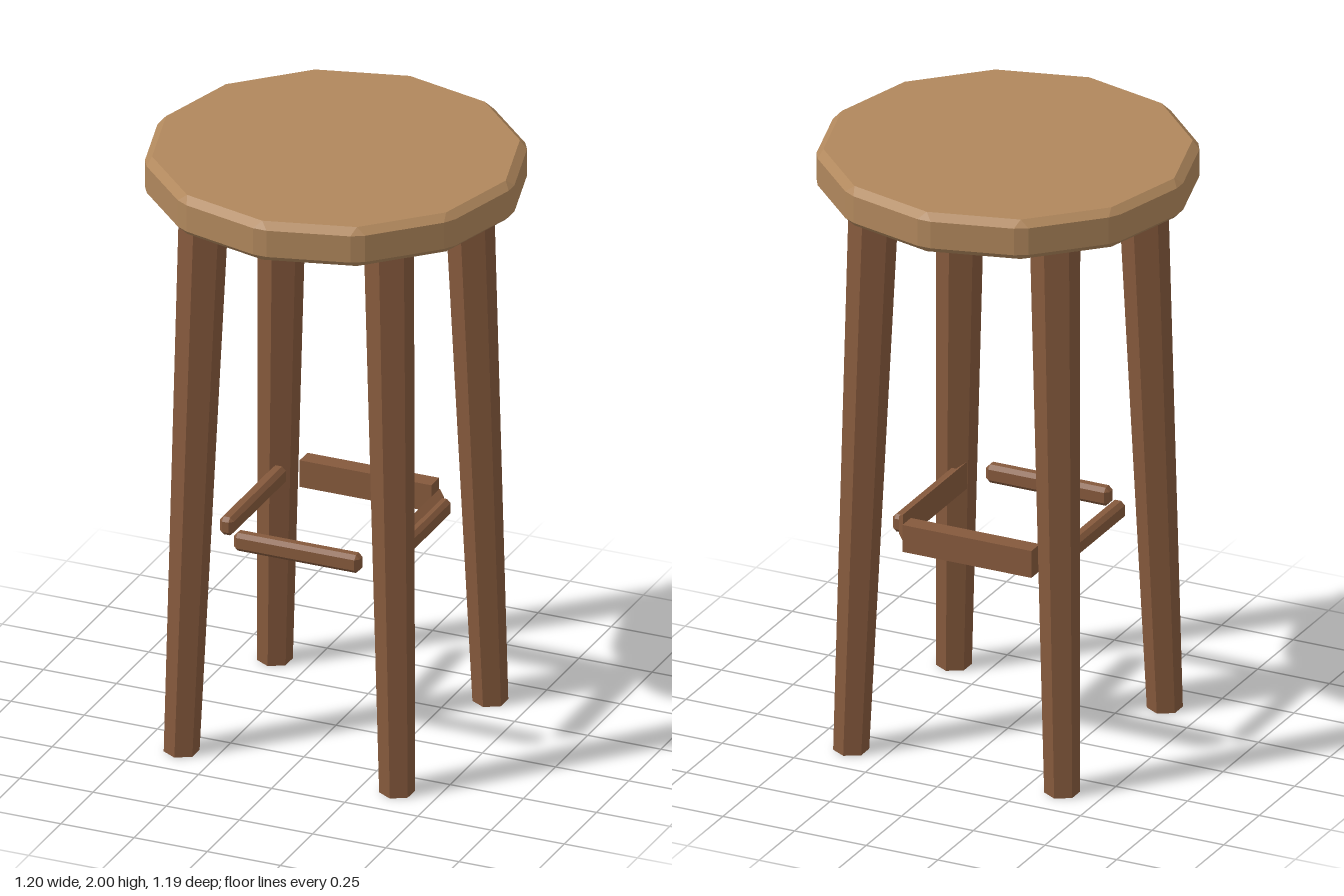
import * as THREE from 'three';
import { ConvexGeometry } from 'three/addons/geometries/ConvexGeometry.js';

const V = (x, y, z) => new THREE.Vector3(x, y, z);
const seatWood = new THREE.MeshStandardMaterial({ color: 0xb0875c, flatShading: true });
const legWood = new THREE.MeshStandardMaterial({ color: 0x85593c, flatShading: true });

function add(parent, name, geometry, material) {
  const mesh = new THREE.Mesh(geometry, material);
  mesh.name = name;
  parent.add(mesh);
  return mesh;
}

// Twelve-sided slab with every edge and corner chamfered
function seatGeometry() {
  const R = 0.606, Z = 0.988, t = 0.024, pts = [];
  const bottom = 1.865, top = 2, c = 0.022;
  const corner = i => V(R * Math.cos(i * Math.PI / 6), 0, R * Math.sin(i * Math.PI / 6));
  for (let i = 0; i < 12; i++) {
    const p = corner(i);
    for (const y of [bottom, top]) pts.push(V(p.x * 0.957, y, p.z * 0.957 * Z));
    for (const n of [corner(i - 1), corner(i + 1)]) {
      const q = p.clone().add(n.sub(p).setLength(t));
      for (const y of [bottom + c, top - c]) pts.push(V(q.x, y, q.z * Z));
    }
  }
  return new ConvexGeometry(pts);
}

// Bar along x with chamfered edges; hx, hy, hz are half sizes
function barGeometry(hx, hy, hz, c) {
  const pts = [];
  for (const x of [-1, 1]) for (const y of [-1, 1]) for (const z of [-1, 1]) {
    pts.push(V(x * hx, y * (hy - c), z * (hz - c)));
    pts.push(V(x * (hx - c), y * hy, z * (hz - c)));
    pts.push(V(x * (hx - c), y * (hy - c), z * hz));
  }
  return new ConvexGeometry(pts);
}

// Tapered backing: tall at z = 0, narrowing to the bar at z = depth
function backingGeometry(depth) {
  const pts = [];
  for (const x of [-1, 1]) for (const y of [-1, 1]) {
    pts.push(V(x * 0.225, y * 0.046, 0), V(x * 0.208, y * 0.03, depth));
  }
  return new ConvexGeometry(pts);
}

// Tapered hexagonal leg, splayed outward toward the floor
function legGeometry(sx, sz) {
  const h = 1.87;
  const g = new THREE.CylinderGeometry(0.079, 0.0565, h, 6);
  g.translate(0, h / 2, 0);
  const p = g.attributes.position;
  for (let i = 0; i < p.count; i++) {
    const k = p.getY(i) / h;
    p.setX(i, p.getX(i) + sx * (0.368 - 0.052 * k));
    p.setZ(i, p.getZ(i) + sz * (0.362 - 0.055 * k));
  }
  g.computeVertexNormals();
  return g;
}

export function createModel() {
  const stool = new THREE.Group();
  stool.name = 'stool';
  add(stool, 'seat', seatGeometry(), seatWood);

  for (const [sx, sz, name] of [[1, 1, 'frontLeftLeg'], [-1, 1, 'frontRightLeg'],
    [1, -1, 'backLeftLeg'], [-1, -1, 'backRightLeg']]) {
    add(stool, name, legGeometry(sx, sz), legWood);
  }

  // Footrest rungs: slim bars at the front and right
  const y = 0.725;
  add(stool, 'frontRung', barGeometry(0.215, 0.031, 0.024, 0.013), legWood).position.set(-0.005, y, 0.282);
  const right = add(stool, 'rightRung', barGeometry(0.215, 0.031, 0.024, 0.013), legWood);
  right.position.set(-0.284, y, 0);
  right.rotation.y = Math.PI / 2;

  // Left rung: slim bar on a flared backing
  const left = new THREE.Group();
  left.name = 'leftRung';
  add(left, 'leftRungBacking', backingGeometry(0.022), legWood);
  add(left, 'leftRungBar', barGeometry(0.208, 0.03, 0.02, 0.012), legWood).position.z = 0.03;
  left.position.set(0.255, y, 0);
  left.rotation.y = Math.PI / 2;
  stool.add(left);

  // Back rung: tall plate
  add(stool, 'backRung', new THREE.BoxGeometry(0.45, 0.092, 0.06), legWood).position.set(-0.003, y, -0.266);

  return stool;
}
